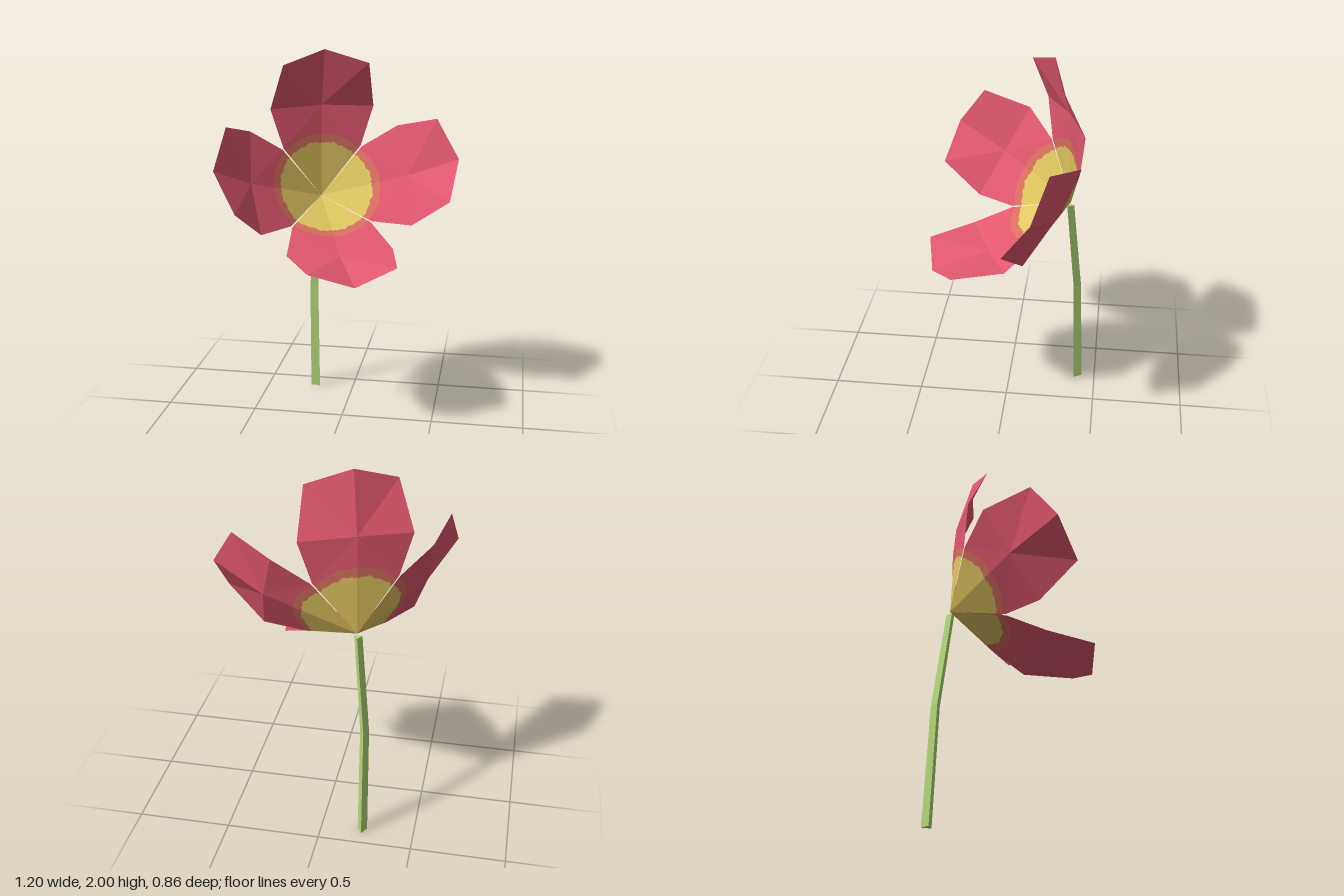
import * as THREE from 'three';

const mat = (name, color, side = THREE.DoubleSide) => {
  const m = new THREE.MeshStandardMaterial({ color, side, flatShading: true });
  m.name = name;
  return m;
};
const V = (x, y, z) => new THREE.Vector3(x, y, z);

function meshFrom(name, tris, material) {
  const g = new THREE.BufferGeometry().setFromPoints(tris);
  g.computeVertexNormals();
  const m = new THREE.Mesh(g, material);
  m.name = name;
  return m;
}

// One petal pointing along +y in the bloom's frame, opening towards +z
function createPetal(mats) {
  const apex = V(0, 0, 0), mid = V(0, 0.43, 0.28), tip = V(0, 0.65, 0.511);
  const base = V(0.217, 0.223, 0.175), wide = V(0.287, 0.408, 0.292), upper = V(0.233, 0.564, 0.51);
  const core = [], halo = [], blade = [];
  const steps = 12;

  for (const s of [1, -1]) {
    const side = (p) => V(p.x * s, p.y, p.z);
    // keep every face turned inwards on the mirrored half too
    const tri = (list, a, b, c) => list.push(side(a), ...(s > 0 ? [side(b), side(c)] : [side(c), side(b)]));
    const quad = (list, a, b, c, d) => { tri(list, a, b, c); tri(list, a, c, d); };

    // rays from the heart to the first fold, cut at the edges of the coloured rings
    const ray = (i) => {
      const q = base.clone().lerp(mid, i / steps);
      const r = Math.hypot(q.x, q.y);
      const edge = 0.255 + 0.004 * Math.sin(i * 2.1) + 0.003 * Math.sin(i * 1.05);
      return [q.clone().multiplyScalar(edge / r), q.clone().multiplyScalar(0.293 / r), q];
    };
    for (let i = 0; i < steps; i++) {
      const [a0, a1, a2] = ray(i), [b0, b1, b2] = ray(i + 1);
      tri(core, apex, a0, b0);
      quad(halo, a0, a1, b1, b0);
      quad(blade, a1, a2, b2, b1);
    }
    // outer facets
    tri(blade, base, wide, mid);
    tri(blade, mid, wide, upper);
    tri(blade, mid, upper, tip);
  }

  const petal = new THREE.Group();
  petal.add(
    meshFrom('petalCore', core, mats.yellow),
    meshFrom('petalHalo', halo, mats.halo),
    meshFrom('petalBlade', blade, mats.pink)
  );
  return petal;
}

// Three-sided stem, bent at the middle and leaning forward to the bloom
function createStem(material) {
  const path = [V(-0.222, 0, -0.396), V(-0.222, 0.63, -0.373), V(-0.175, 1.16, -0.323)];
  const g = new THREE.CylinderGeometry(0.024, 0.03, 2, 3, 2, false, Math.PI).toNonIndexed();
  const p = g.attributes.position;
  for (let i = 0; i < p.count; i++) {
    const c = path[Math.round(p.getY(i) + 1)];
    p.setXYZ(i, p.getX(i) + c.x, c.y, p.getZ(i) + c.z);
  }
  g.computeVertexNormals();
  const m = new THREE.Mesh(g, material);
  m.name = 'stem';
  return m;
}

export function createModel() {
  const mats = {
    pink: mat('petalPink', 0xe2586f),
    yellow: mat('heartYellow', 0xdfc660),
    halo: mat('haloOrange', 0xd9705f),
  };
  const model = new THREE.Group();
  model.name = 'flower';
  model.add(createStem(mat('stemGreen', 0xb2d878, THREE.FrontSide)));

  // Four petals around a tilted axis
  const bloom = new THREE.Group();
  bloom.name = 'bloom';
  bloom.position.set(-0.172, 1.18, -0.329);
  bloom.quaternion.setFromRotationMatrix(new THREE.Matrix4().makeBasis(
    V(0.92, 0, -0.391), V(-0.2, 0.859, -0.47), V(0.336, 0.511, 0.79)));
  ['topPetal', 'rightPetal', 'bottomPetal', 'leftPetal'].forEach((name, k) => {
    const petal = createPetal(mats);
    petal.name = ['topPetal', 'leftPetal', 'bottomPetal', 'rightPetal'][k];
    petal.rotation.z = -k * Math.PI / 2;
    bloom.add(petal);
  });
  model.add(bloom);
  return model;
}
